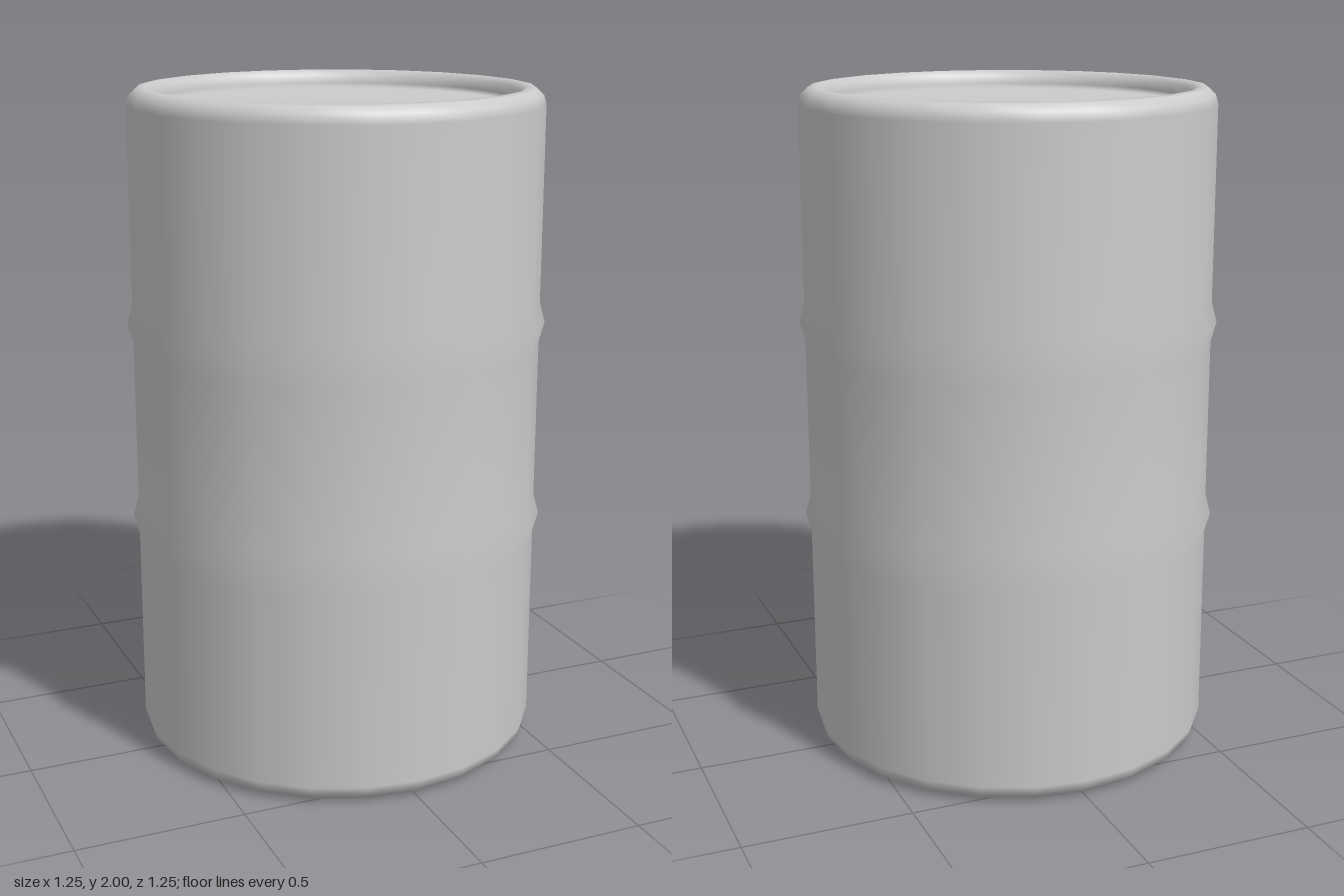
import * as THREE from 'three';

const SIDES = 24;
const RADIUS = 0.61;

// Raised hoop around the wall: foot, crest, foot
const hoop = (y) => [[RADIUS, y - 0.06], [0.626, y], [RADIUS, y + 0.06]];

export function createModel() {
  const group = new THREE.Group();
  group.name = 'drum';

  const profile = [
    // recessed base and lower rim
    [0, 0.055], [0.545, 0.055], [0.545, 0.015], [0.56, 0], [0.575, 0.003], [0.6, 0.025], [RADIUS, 0.055],
    // wall with two hoops
    ...hoop(0.71),
    ...hoop(1.31),
    // upper rim and recessed lid
    [RADIUS, 1.95], [0.602, 1.978], [0.582, 1.997], [0.557, 2], [0.535, 1.985], [0.53, 1.96], [0.53, 1.945], [0, 1.945],
  ].map(([r, y]) => new THREE.Vector2(r, y));

  const drum = new THREE.Mesh(
    new THREE.LatheGeometry(profile, SIDES),
    new THREE.MeshStandardMaterial({ color: 0xcccccc }),
  );
  drum.name = 'drumBody';
  group.add(drum);
  return group;
}
